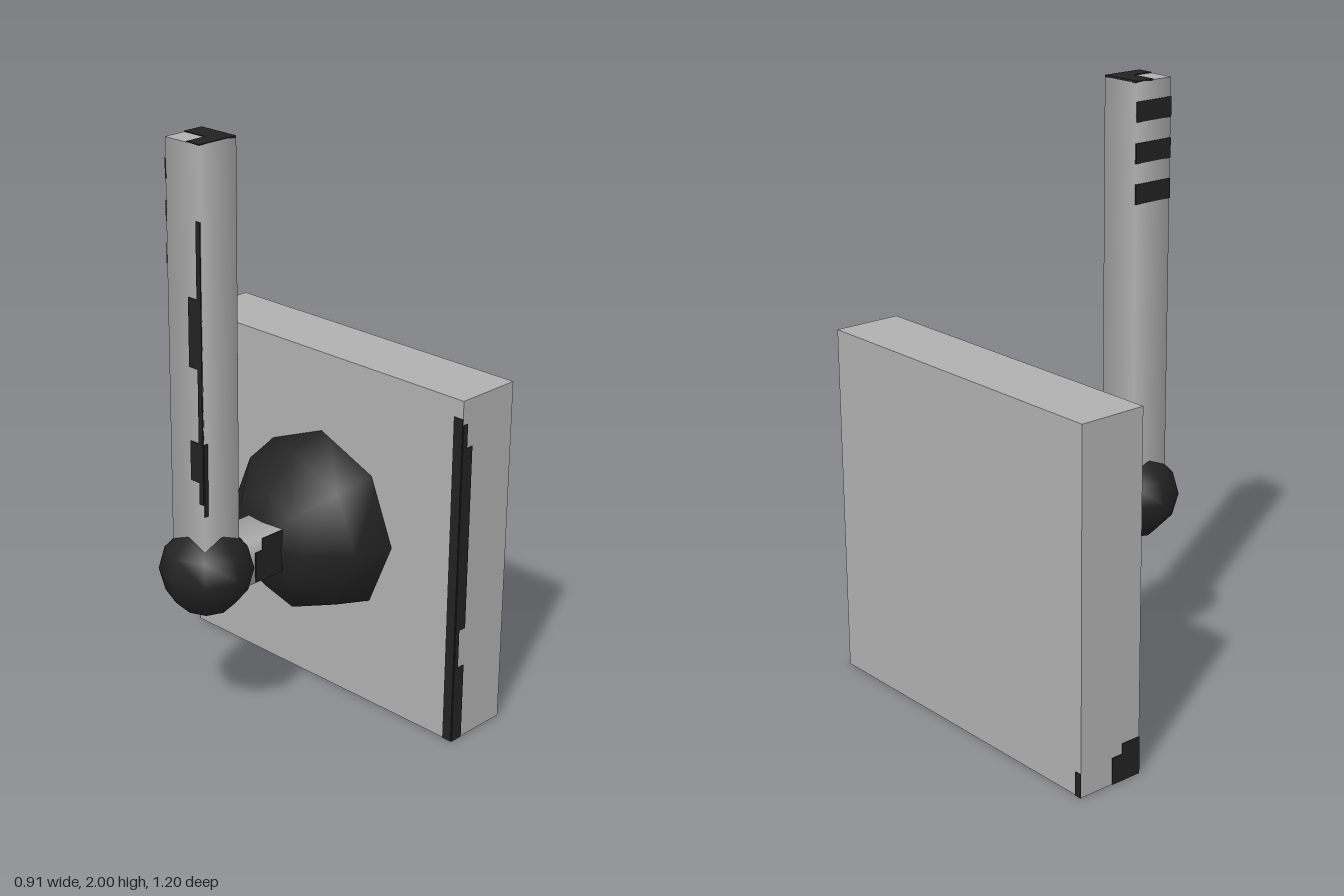
import * as THREE from 'three';

const grey = new THREE.MeshStandardMaterial({ color: 0xb0b0b0 });
grey.name = 'light grey';
const black = new THREE.MeshStandardMaterial({ color: 0x222222 });
black.name = 'black';

const T = 0.003; // half thickness of painted plates

export function createModel() {
  const model = new THREE.Group();
  model.name = 'ballMount';

  const add = (name, geometry, material, x, y, z) => {
    const mesh = new THREE.Mesh(geometry, material);
    mesh.name = name;
    mesh.position.set(x, y, z);
    model.add(mesh);
    return mesh;
  };
  // box given by its limits on each axis
  const box = (name, material, [x0, x1], [y0, y1], [z0, z1]) =>
    add(name, new THREE.BoxGeometry(x1 - x0, y1 - y0, z1 - z0), material,
      (x0 + x1) / 2, (y0 + y1) / 2, (z0 + z1) / 2);
  const thin = (v) => [v - T, v + T];
  // square bar with softly shaded sides
  const bar = (half, length) =>
    new THREE.CylinderGeometry(half * Math.SQRT2, half * Math.SQRT2, length, 4).rotateY(Math.PI / 4);

  // main parts
  const X0 = 0.22, X1 = 0.455, Z = 0.595;
  box('slab', grey, [X0, X1], [0, 1.19], [-Z, Z]);
  add('dome', new THREE.SphereGeometry(0.325, 8, 3, 0, Math.PI * 2, 0, Math.PI / 2).rotateZ(Math.PI / 2),
    black, 0.25, 0.6, 0);
  add('arm', bar(0.075, 0.33).rotateZ(Math.PI / 2), grey, -0.135, 0.603, 0.008);
  add('ball', new THREE.SphereGeometry(0.151, 8, 6), black, -0.306, 0.605, 0.008);
  add('post', bar(0.073, 1.39), grey, -0.306, 1.303, 0.008);

  // limits of the post
  const px0 = -0.379, px1 = -0.233, pz0 = -0.065, pz1 = 0.081;

  // black bands on the back of the post
  for (let i = 0; i < 3; i++) {
    const y = 1.905 - i * 0.13;
    box('postBand', black, [px0, px1], [y - 0.032, y + 0.032], thin(pz0));
  }

  // post top: dark angle around a light corner
  box('postTopRight', black, [-0.303, px1], thin(1.998), [pz0, pz1]);
  box('postTopFront', black, [px0, -0.303], thin(1.998), [0.025, pz1]);

  // worn edge of the post
  box('postEdgeFront', black, [px0, -0.364], [0.83, 1.07], thin(pz1));
  box('postEdgeSide', black, thin(px0), [0.87, 1.77], [pz1 - 0.018, pz1]);
  for (const [y0, y1] of [[0.94, 1.07], [1.31, 1.53]]) {
    box('postEdgePatch', black, thin(px0), [y0, y1], [pz1 - 0.055, pz1]);
  }
  box('postBasePatch', black, thin(px1), [0.65, 0.86], [0.01, 0.06]);
  box('postBaseStrip', black, thin(px1), [0.65, 0.76], [pz0, 0.01]);

  // dark front of the arm
  box('armFront', black, [-0.135, -0.04], [0.53, 0.676], thin(0.083));
  box('armFrontStep', black, [-0.165, -0.135], [0.53, 0.635], thin(0.083));

  // dark strip on the front edge of the slab: width by height range
  const strip = [[0, 0.265, 0.045], [0.265, 0.4, 0.017], [0.4, 1.03, 0.045], [1.03, 1.11, 0.02]];
  for (const [y0, y1, w] of strip) {
    box('slabEdgeFront', black, [X0, X0 + w], [y0, y1], thin(Z));
  }
  box('slabEdgeInner', black, thin(X0), [0, 1.13], [Z - 0.035, Z]);

  // dark corners of the slab
  box('slabCornerBack', black, [X0, 0.33], [0, 0.09], thin(-Z));
  box('slabCornerBackTop', black, [X0, 0.29], [0.09, 0.125], thin(-Z));
  box('slabCornerOuter', black, thin(X1), [0, 0.08], [-Z, -0.572]);
  box('slabCornerBottom', black, [0.28, X1], thin(T), [Z - 0.05, Z]);

  return model;
}
